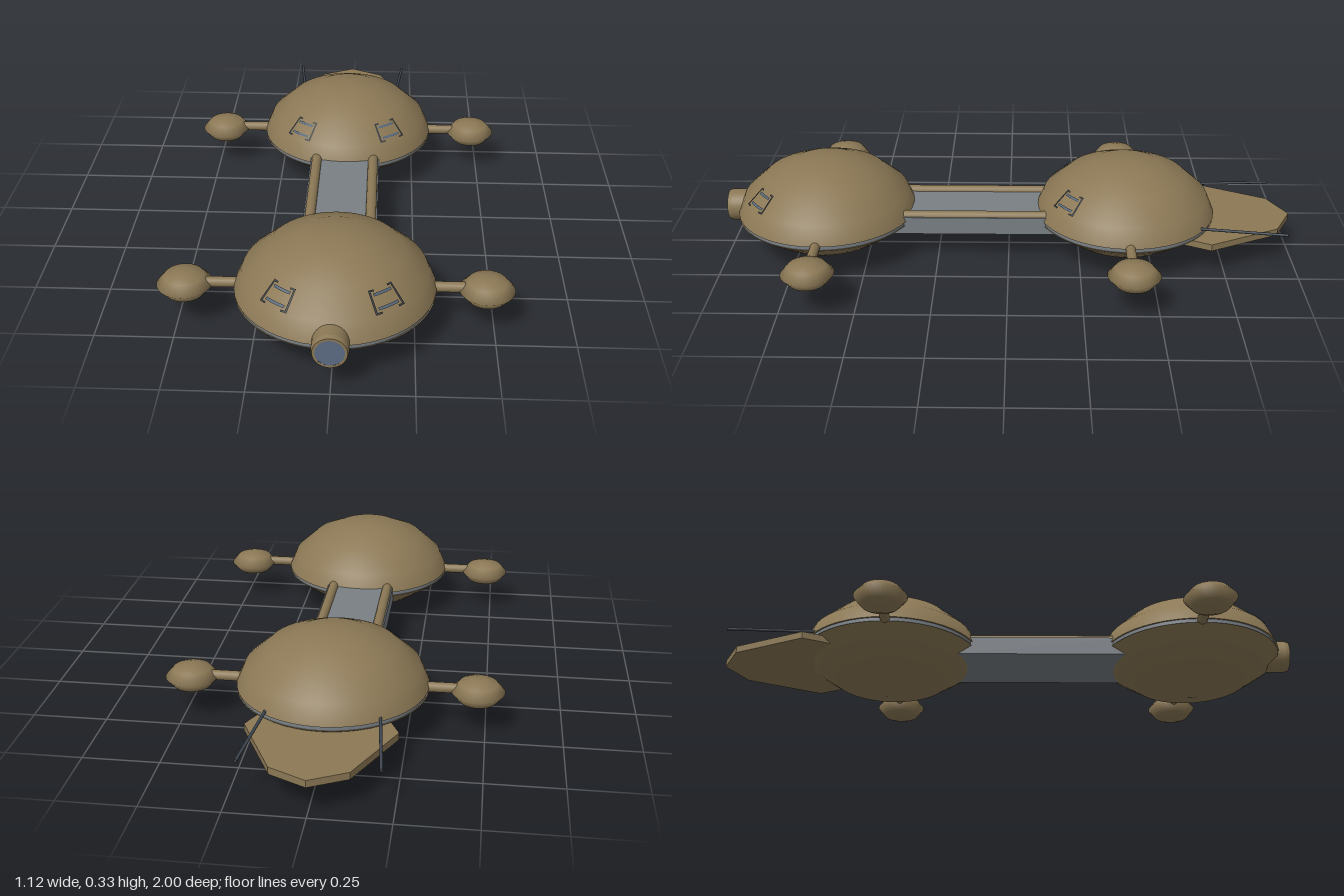
import * as THREE from 'three';

const mat = (name, color, extra = {}) => {
  const m = new THREE.MeshStandardMaterial({ color, ...extra });
  m.name = name;
  return m;
};

export function createModel() {
  const hull = mat('bronze hull', 0x8b7855);
  const grey = mat('grey metal', 0x7a8085);
  const glass = mat('blue glass', 0x5c6c84);
  const dark = mat('dark metal', 0x3e4650);
  const bars = mat('window blue', 0x566678, { side: THREE.DoubleSide });
  const frames = mat('window frame', 0x353a3e, { side: THREE.DoubleSide });

  const model = new THREE.Group();
  model.name = 'spacecraft';

  const add = (parent, name, geo, material, x = 0, y = 0, z = 0) => {
    const mesh = new THREE.Mesh(geo, material);
    mesh.name = name;
    mesh.position.set(x, y, z);
    parent.add(mesh);
    return mesh;
  };
  const lathe = (pts, seg = 48) =>
    new THREE.LatheGeometry(pts.map(([r, y]) => new THREE.Vector2(r, y)), seg);
  // cylinder between two points
  const rod = (parent, name, a, b, r, material) => {
    const from = new THREE.Vector3(...a), to = new THREE.Vector3(...b);
    const dir = to.clone().sub(from);
    const m = add(parent, name, new THREE.CylinderGeometry(r, r, dir.length(), 16), material);
    m.position.copy(from).add(to).multiplyScalar(0.5);
    m.quaternion.setFromUnitVectors(new THREE.Vector3(0, 1, 0), dir.normalize());
  };

  const upper = [[0.315, 0.147], [0.288, 0.21], [0.21, 0.28], [0.115, 0.321], [0.04, 0.331], [0, 0.331]];
  const lower = [[0, 0], [0.03, 0.002], [0.2, 0.052], [0.28, 0.107], [0.313, 0.132]];
  const small = [[0, 0.09], [0.022, 0.091], [0.062, 0.107], [0.088, 0.138],
    [0.062, 0.168], [0.025, 0.179], [0, 0.18]];

  // radius of the dome at a given height
  const domeRadius = (y) => {
    const i = upper.findIndex((p, k) => k < upper.length - 1 && y <= upper[k + 1][1]);
    const [r0, y0] = upper[i], [r1, y1] = upper[i + 1];
    return r0 + (r1 - r0) * (y - y0) / (y1 - y0);
  };
  // thin strip lying on the dome between two angles and two heights
  const domePatch = (a0, a1, y0, y1) => {
    const geo = new THREE.PlaneGeometry(1, 1, 6, 4);
    const p = geo.attributes.position;
    for (let i = 0; i < p.count; i++) {
      const a = THREE.MathUtils.degToRad(a0 + (a1 - a0) * (p.getX(i) + 0.5));
      const y = y0 + (y1 - y0) * (p.getY(i) + 0.5);
      const r = domeRadius(y) + 0.004;
      p.setXYZ(i, Math.sin(a) * r, y + 0.002, Math.cos(a) * r);
    }
    geo.computeVertexNormals();
    return geo;
  };

  for (const [name, z] of [['frontPod', 0.648], ['rearPod', -0.412]]) {
    const pod = new THREE.Group();
    pod.name = name;
    pod.position.z = z;
    model.add(pod);

    // saucer shells with the recessed rim band
    add(pod, 'upperDome', lathe(upper), hull);
    add(pod, 'domeLip', lathe([[0.295, 0.147], [0.315, 0.147]]), hull);
    add(pod, 'lowerBowl', lathe(lower), hull);
    add(pod, 'bowlLip', lathe([[0.313, 0.132], [0.295, 0.132]]), hull);
    add(pod, 'rimBand', new THREE.CylinderGeometry(0.309, 0.309, 0.017, 48, 1, true), grey, 0, 0.1395, 0);

    for (const s of [-1, 1]) {
      // side nacelles
      rod(pod, 'nacelleStrut', [s * 0.29, 0.144, 0], [s * 0.42, 0.144, 0], 0.017, hull);
      add(pod, 'nacelle', lathe(small, 32), hull, s * 0.472, 0, 0);

      // window outlines
      for (const y of [0.222, 0.251])
        add(pod, 'windowBar', domePatch(s * 30, s * 45, y, y + 0.006), bars);
      for (const a of [27, 46.5])
        add(pod, 'windowSide', domePatch(s * a, s * (a + 1.5), 0.215, 0.264), frames);
      for (const y of [0.214, 0.261])
        for (const a of [27, 43.5])
          add(pod, 'windowCorner', domePatch(s * a, s * (a + 4.5), y, y + 0.004), frames);
    }
  }

  // nose port: hollow ring with inset glass
  const port = new THREE.Group();
  port.name = 'nosePort';
  port.position.set(0, 0.15, 0.92);
  port.rotation.x = Math.PI / 2;
  model.add(port);
  add(port, 'portHousing', new THREE.CylinderGeometry(0.056, 0.056, 0.066, 32, 1, true), hull, 0, 0.033, 0);
  add(port, 'portBevel', lathe([[0.056, 0.066], [0.052, 0.08]], 32), hull);
  add(port, 'portFace', lathe([[0.052, 0.08], [0.044, 0.08]], 32), hull);
  add(port, 'portGlass', new THREE.CylinderGeometry(0.0445, 0.0445, 0.03, 32), glass, 0, 0.064, 0);

  // connecting spine and its rails
  add(model, 'spine', new THREE.BoxGeometry(0.25, 0.063, 0.62), grey, 0, 0.1315, 0.118);
  for (const s of [-1, 1]) {
    rod(model, 'spineRail', [s * 0.103, 0.161, 0.42], [s * 0.103, 0.161, -0.18], 0.018, hull);
    rod(model, 'antenna', [s * 0.175, 0.156, -0.62], [s * 0.211, 0.149, -0.957], 0.005, dark);
  }

  // flat tail plate
  const half = [[0.19, 0.59], [0.24, 0.695], [0.12, 0.94]];
  const outline = [...half, [0, 1], ...half.map(([x, z]) => [-x, z]).reverse()];
  const tail = new THREE.ExtrudeGeometry(
    new THREE.Shape(outline.map(([x, z]) => new THREE.Vector2(x, z))),
    { depth: 0.024, bevelEnabled: false });
  tail.rotateX(-Math.PI / 2);
  add(model, 'tailPlate', tail, hull, 0, 0.102, 0);

  return model;
}
